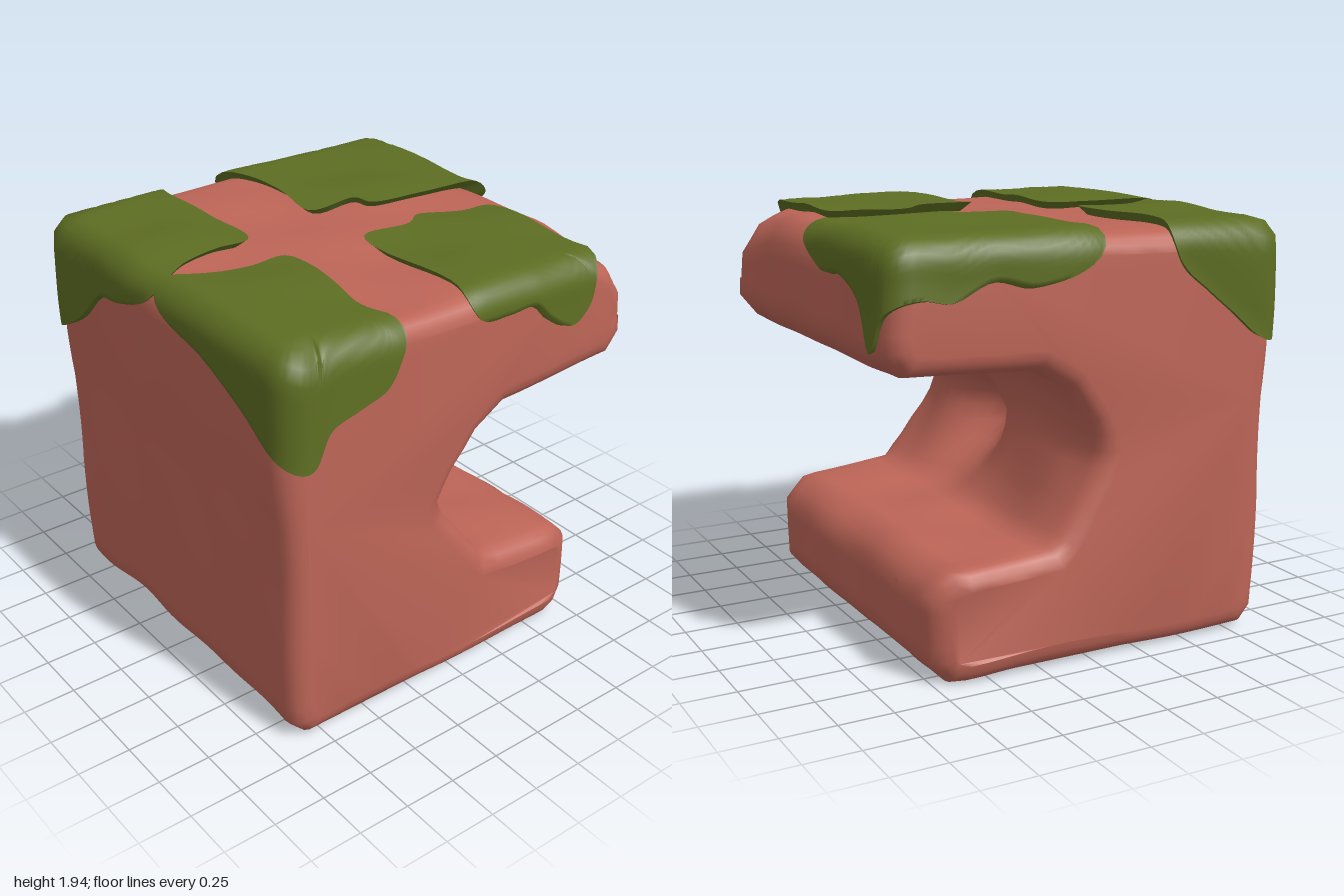
import * as THREE from 'three';
import { toCreasedNormals } from 'three/addons/utils/BufferGeometryUtils.js';

const rockMaterial = new THREE.MeshStandardMaterial({ color: 0xbd6557 });
rockMaterial.name = 'red clay rock';
const mossMaterial = new THREE.MeshStandardMaterial({ color: 0x5d6d22 });
mossMaterial.name = 'olive moss';

const BACK = -0.92, FRONT = 0.93, BEVEL = 0.09;
const { clamp, smoothstep } = THREE.MathUtils;

// C-shaped outline of the block, seen from the front
const profile = [
  [-0.83, 0.01], [0.69, 0.01], [0.77, 0.1], [0.78, 0.4], [0.68, 0.5], [0.2, 0.54],
  [0.12, 0.64], [0.05, 0.8], [0, 0.95], [0.03, 1.09], [0.12, 1.24], [0.26, 1.33],
  [0.88, 1.35], [0.96, 1.45], [0.95, 1.78], [0.86, 1.88], [-0.84, 1.89], [-0.93, 1.8],
  [-0.94, 1.4], [-0.92, 1.1], [-0.92, 0.6], [-0.9, 0.09],
];

// Split long edges so the faces can undulate
function subdivide(points, step) {
  const out = [];
  points.forEach(([x, y], i) => {
    const [nx, ny] = points[(i + 1) % points.length];
    const n = Math.max(1, Math.round(Math.hypot(nx - x, ny - y) / step));
    for (let k = 0; k < n; k++) {
      out.push(new THREE.Vector2(x + (nx - x) * k / n, y + (ny - y) * k / n));
    }
  });
  return out;
}

const lump = (x, y, z) =>
  Math.sin(5 * x + 3 * z + 1) * Math.sin(4 * y - 5 * z) + 0.5 * Math.sin(11 * z + 7 * y - 6 * x);
const bell = (v, centre, width) => Math.exp(-(((v - centre) / width) ** 2));

function createRock() {
  const geometry = new THREE.ExtrudeGeometry(new THREE.Shape(subdivide(profile, 0.08)), {
    depth: FRONT - BACK - 2 * BEVEL, steps: 28, bevelEnabled: true, bevelSegments: 4,
    bevelSize: BEVEL, bevelThickness: BEVEL, bevelOffset: -BEVEL,
  });
  geometry.translate(0, 0, BACK + BEVEL);
  const p = geometry.attributes.position;
  for (let i = 0; i < p.count; i++) {
    const x = p.getX(i), y = p.getY(i), z = p.getZ(i);
    const l = 0.009 * lump(x, y, z);
    // Hollow pressed into the inner wall, which also recedes toward the front and back
    const hollow = x > -0.2
      ? 0.28 * bell(y, 0.84, 0.23) * bell(z, 0.25, 0.22)
        + 0.1 * bell(y, 0.9, 0.22) * smoothstep(z, 0.5, FRONT)
        + 0.04 * bell(y, 0.9, 0.22) * smoothstep(-z, 0.6, -BACK) : 0;
    // Worn-down top corner at the front
    const wear = y > 1.6
      ? 0.12 * clamp((x - 0.72) / 0.23, 0, 1) * clamp((z - 0.45) / 0.45, 0, 1) : 0;
    // Blunted upright corners of the lower ledge
    const blunt = y < 0.55 ? 1 - 0.06 * clamp((x - 0.6) / 0.18, 0, 1) : 1;
    const ny = y - wear + (y < 0.05 ? Math.min(l, 0) : l);
    p.setXYZ(i, x + l - hollow, Math.max(0, ny), z * blunt);
  }
  const mesh = new THREE.Mesh(toCreasedNormals(geometry, 0.9), rockMaterial);
  mesh.name = 'rockBlock';
  return mesh;
}

// Signed distance to the rounded upper slab on which the moss lies
const slab = new THREE.Box3(
  new THREE.Vector3(-0.93, 0.8, BACK), new THREE.Vector3(0.95, 1.89, FRONT));
const slabCentre = slab.getCenter(new THREE.Vector3());
const slabHalf = slab.getSize(new THREE.Vector3()).multiplyScalar(0.5).subScalar(BEVEL);
function slabDistance(v) {
  const qx = Math.abs(v.x - slabCentre.x) - slabHalf.x;
  const qy = Math.abs(v.y - slabCentre.y) - slabHalf.y;
  const qz = Math.abs(v.z - slabCentre.z) - slabHalf.z;
  return Math.hypot(Math.max(qx, 0), Math.max(qy, 0), Math.max(qz, 0))
    + Math.min(Math.max(qx, qy, qz), 0) - BEVEL;
}

// Move outward from the anchor until the given height above the slab
function project(anchor, target, height) {
  const dir = target.clone().sub(anchor).normalize();
  let near = 0, far = 3;
  for (let i = 0; i < 24; i++) {
    const mid = (near + far) / 2;
    if (slabDistance(anchor.clone().addScaledVector(dir, mid)) < height) near = mid;
    else far = mid;
  }
  return anchor.clone().addScaledVector(dir, near);
}

// Moss sheet draped over the slab, from a centre and an outline
function createMoss(name, [cx, cz], outline) {
  const SIDES = 96, RINGS = 20;
  const curve = new THREE.CatmullRomCurve3(
    outline.map((o) => new THREE.Vector3(...o)), true, 'centripetal');
  const anchor = new THREE.Vector3(cx, 1.55, cz);
  const top = new THREE.Vector3(cx, 1.93, cz);
  const positions = [], index = [];
  for (let r = 0; r <= RINGS + 1; r++) {
    for (let s = 0; s < SIDES; s++) {
      const target = top.clone().lerp(curve.getPoint(s / SIDES), Math.min(1, r / RINGS));
      // The last ring tucks the rim into the rock
      const height = r > RINGS ? -0.03 : 0.036 + 0.01 * lump(target.x, target.y, target.z);
      const v = project(anchor, target, height);
      positions.push(v.x, v.y, v.z);
      if (r > 0) {
        const n = (s + 1) % SIDES;
        const a = (r - 1) * SIDES + s, b = (r - 1) * SIDES + n;
        const c = r * SIDES + s, d = r * SIDES + n;
        if (r > 1) index.push(a, c, b);
        index.push(b, c, d);
      }
    }
  }
  const geometry = new THREE.BufferGeometry();
  geometry.setAttribute('position', new THREE.Float32BufferAttribute(positions, 3));
  geometry.setIndex(index);
  const mesh = new THREE.Mesh(toCreasedNormals(geometry, 1.35), mossMaterial);
  mesh.name = name;
  return mesh;
}

export function createModel() {
  const group = new THREE.Group();
  group.name = 'mossyRock';
  group.add(createRock());

  group.add(createMoss('mossFrontRight', [-0.65, 0.5], [
    [-0.35, 1.93, 0.12], [-0.55, 1.93, 0.11], [-0.8, 1.93, 0.05], [-0.97, 1.82, 0.06],
    [-0.97, 1.72, 0.4], [-0.97, 1.6, 0.65], [-0.97, 1.47, 0.85], [-0.83, 1.4, 0.97],
    [-0.74, 1.56, 0.97], [-0.6, 1.61, 0.97], [-0.46, 1.66, 0.97], [-0.39, 1.78, 0.97],
    [-0.38, 1.93, 0.8], [-0.36, 1.93, 0.5],
  ]));
  group.add(createMoss('mossFrontLeft', [0.38, 0.52], [
    [0.75, 1.93, 0.22], [0.6, 1.93, 0.2], [0.4, 1.93, 0.12], [0.28, 1.93, 0.2],
    [0.02, 1.93, 0.2], [0.02, 1.93, 0.8], [0.04, 1.81, 0.97], [0.2, 1.79, 0.97],
    [0.35, 1.79, 0.97], [0.45, 1.7, 0.97], [0.58, 1.63, 0.97], [0.67, 1.7, 0.97],
    [0.71, 1.85, 0.97], [0.75, 1.93, 0.55],
  ]));
  group.add(createMoss('mossBackLeft', [0.5, -0.5], [
    [0.99, 1.83, -0.05], [0.99, 1.73, -0.23], [0.99, 1.74, -0.45], [0.99, 1.66, -0.65],
    [0.99, 1.45, -0.78], [0.99, 1.62, -0.9], [0.85, 1.68, -0.96], [0.7, 1.66, -0.96],
    [0.5, 1.74, -0.96], [0.3, 1.7, -0.96], [0.05, 1.78, -0.96], [0.03, 1.93, -0.8],
    [0.06, 1.93, -0.5], [0.02, 1.93, -0.2], [0.28, 1.93, -0.2], [0.31, 1.93, -0.11],
    [0.6, 1.93, -0.07], [0.92, 1.93, -0.03],
  ]));
  group.add(createMoss('mossBackRight', [-0.65, -0.5], [
    [-0.38, 1.93, -0.8], [-0.4, 1.75, -0.96], [-0.55, 1.62, -0.96], [-0.7, 1.5, -0.96],
    [-0.85, 1.38, -0.96], [-0.97, 1.38, -0.85], [-0.97, 1.5, -0.65], [-0.97, 1.68, -0.45],
    [-0.97, 1.72, -0.25], [-0.97, 1.82, -0.02], [-0.75, 1.93, -0.05], [-0.55, 1.93, -0.1],
    [-0.38, 1.93, -0.1], [-0.37, 1.93, -0.45],
  ]));
  return group;
}
